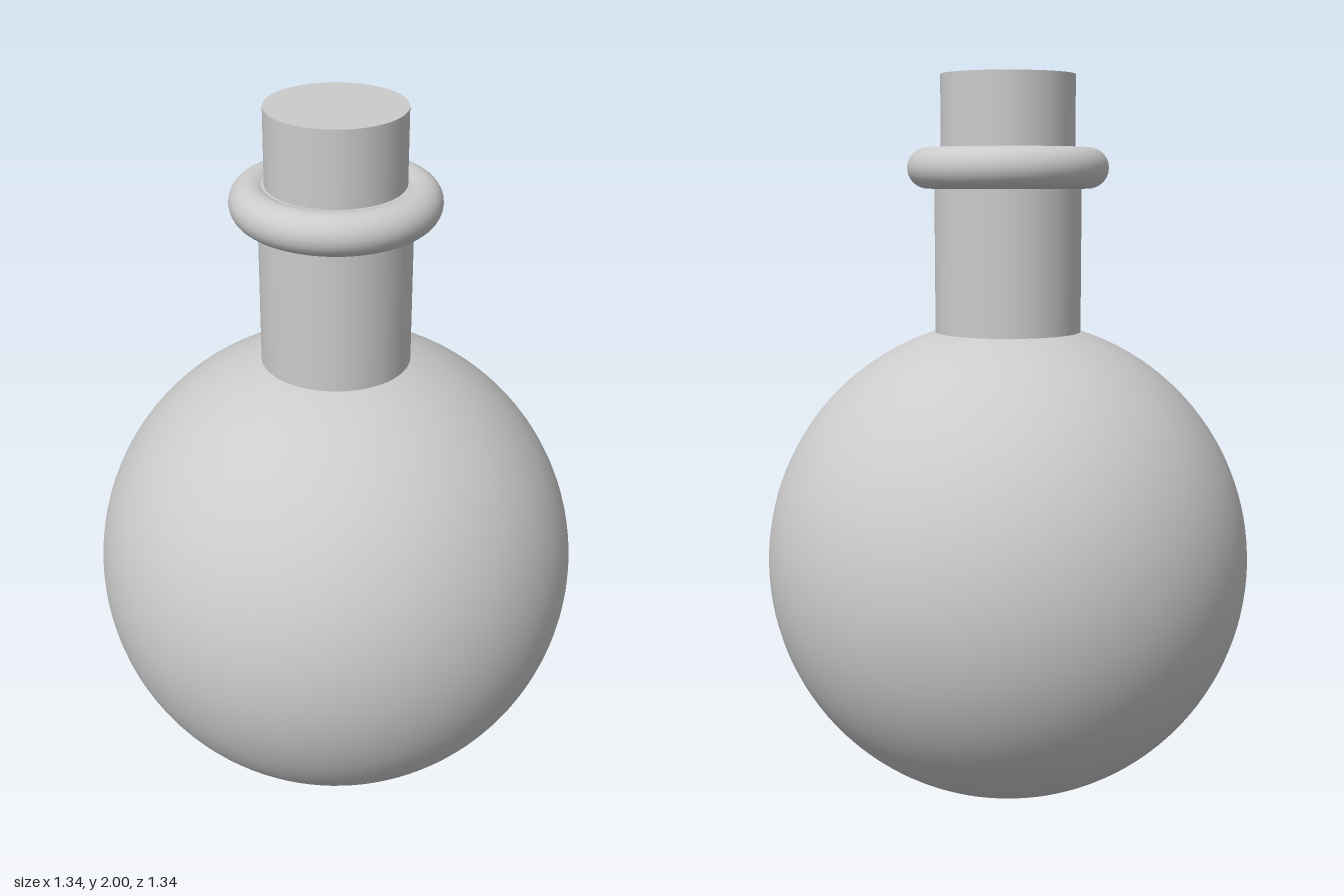
import * as THREE from 'three';

export function createModel() {
  const group = new THREE.Group();
  group.name = 'flask';
  const material = new THREE.MeshStandardMaterial({ color: 0xcccccc });

  const add = (name, geometry, y) => {
    const mesh = new THREE.Mesh(geometry, material);
    mesh.name = name;
    mesh.position.y = y;
    group.add(mesh);
    return mesh;
  };
  // Upright cylinder given by its bottom and top heights
  const column = (name, radius, y0, y1) =>
    add(name, new THREE.CylinderGeometry(radius, radius, y1 - y0, 64), (y0 + y1) / 2);

  // Round body
  add('body', new THREE.SphereGeometry(0.67, 96, 64), 0.67);

  // Straight neck, sunk into the body
  column('neck', 0.2, 1.25, 1.8);

  // Rounded lip around the mouth
  add('lip', new THREE.TorusGeometry(0.218, 0.055, 32, 96).rotateX(Math.PI / 2), 1.753);

  // Stopper in the mouth
  column('stopper', 0.182, 1.7, 2);

  return group;
}
